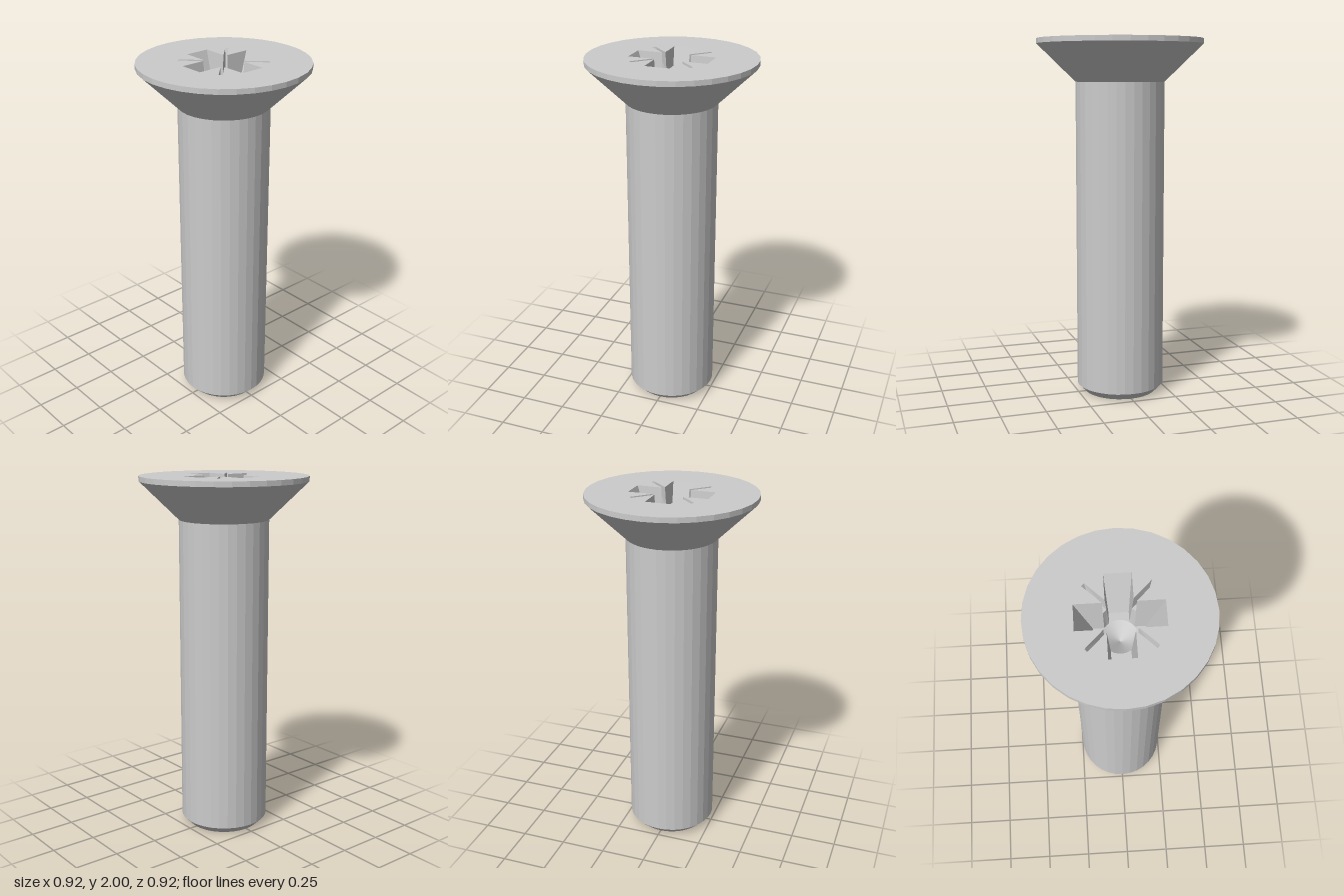
import * as THREE from 'three';

const SIDES = 32;
const TOP = 2, RIM = 0.46;
const FLOOR = 1.75, TIP = 1.69, SLIT = 1.9; // heights inside the recess

// Points of one quadrant of the recess, as [x, z]
const topArm = [0.218, 0.068], slitIn = [0.082, 0.068], slitOut = [0.174, 0.16];
const floorArm = [0.13, 0.05], slitEnd = [0.15, 0.143];
const swap = ([x, z]) => [z, x];
const flip = ([x, z]) => [x, -z];
const turn = ([x, z], k) => {
  for (let i = 0; i < k; i++) [x, z] = [-z, x];
  return [x, z];
};
const ring = (j, r) => {
  const a = (j / SIDES) * Math.PI * 2;
  return [r * Math.cos(a), r * Math.sin(a)];
};
const at = ([x, z], y) => [x, y, z];

function recessGeometry() {
  const pos = [];
  for (let k = 0; k < 4; k++) {
    // convex polygon as a fan, turned into quadrant k
    const poly = (...pts) => {
      const p = pts.map(([x, y, z]) => at(turn([x, z], k), y));
      for (let i = 1; i < p.length - 1; i++) pos.push(...p[0], ...p[i], ...p[i + 1]);
    };
    const wall = (a, b, a2, b2, y) => poly(at(a, TOP), at(a2, y), at(b2, y), at(b, TOP));
    const rim = (j) => ring(j, 0.09);

    // arm: end wall and both side walls
    wall(flip(topArm), topArm, flip(floorArm), floorArm, FLOOR);
    wall(topArm, slitIn, floorArm, rim(3), FLOOR);
    wall(swap(slitIn), swap(topArm), rim(5), swap(floorArm), FLOOR);

    // arm floor, ending on the arc of the centre hole
    const arc = [];
    for (let j = -3; j <= 3; j++) arc.push(at(rim(j), FLOOR));
    poly(at(floorArm, FLOOR), at(flip(floorArm), FLOOR), ...arc);

    // diagonal slit between two arms
    const t = (TOP - SLIT) / (TOP - FLOOR);
    const inner = slitIn.map((v, i) => v + (rim(3)[i] - v) * t);
    wall(slitIn, slitOut, inner, slitEnd, SLIT);
    wall(slitOut, swap(slitOut), slitEnd, swap(slitEnd), SLIT);
    wall(swap(slitOut), swap(slitIn), swap(slitEnd), swap(inner), SLIT);
    poly(at(slitEnd, SLIT), at(inner, SLIT), at(swap(inner), SLIT), at(swap(slitEnd), SLIT));

    // corner wall under the slit
    poly(at(rim(4), FLOOR), at(rim(5), FLOOR), at(swap(inner), SLIT), at(inner, SLIT), at(rim(3), FLOOR));

    // quarter of the conical centre
    for (let j = 0; j < SIDES / 4; j++) poly([0, TIP, 0], at(rim(j + 1), FLOOR), at(rim(j), FLOOR));
  }
  const g = new THREE.BufferGeometry();
  g.setAttribute('position', new THREE.Float32BufferAttribute(pos, 3));
  g.computeVertexNormals();
  return g;
}

export function createModel() {
  const group = new THREE.Group();
  const material = new THREE.MeshStandardMaterial({ color: 0xcccccc, flatShading: true });
  const add = (name, geometry, mat = material) => {
    const mesh = new THREE.Mesh(geometry, mat);
    mesh.name = name;
    group.add(mesh);
    return mesh;
  };
  const lathe = (pts) => new THREE.LatheGeometry(pts.map((p) => new THREE.Vector2(...p)), SIDES);

  // shank with chamfered end
  add('shank', lathe([[0, 0], [0.205, 0], [0.247, 0.042], [0.247, 1.765]]));

  // countersunk head
  add('head', lathe([[0.247, 1.765], [RIM, 1.972], [RIM, TOP]]));

  // flat top face, pierced by the recess outline
  const face = new THREE.Shape();
  const outer = [], hole = [];
  for (let j = 0; j < SIDES; j++) outer.push(new THREE.Vector2(...ring(j, RIM)));
  for (let k = 0; k < 4; k++) {
    for (const p of [flip(topArm), topArm, slitIn, slitOut, swap(slitOut), swap(slitIn)]) {
      hole.push(new THREE.Vector2(...turn(p, k)));
    }
  }
  face.setFromPoints(outer);
  face.holes.push(new THREE.Path(hole));
  const top = add('headFace', new THREE.ShapeGeometry(face));
  top.rotation.x = -Math.PI / 2;
  top.position.y = TOP;

  // cross drive recess
  const inside = material.clone();
  inside.side = THREE.DoubleSide;
  add('driveRecess', recessGeometry(), inside);

  return group;
}
